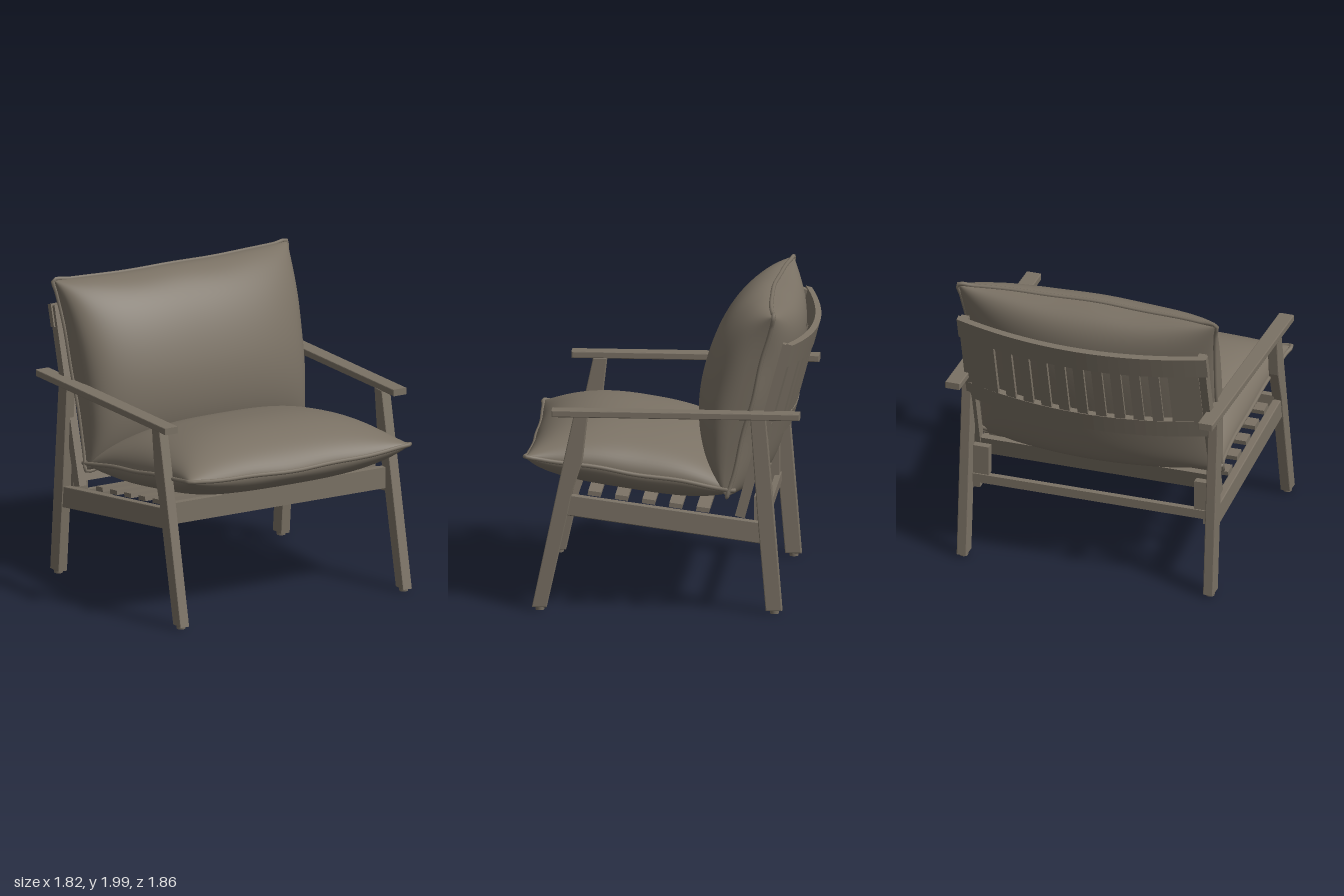
import * as THREE from 'three';
import { ParametricGeometry } from 'three/addons/geometries/ParametricGeometry.js';

export function createModel() {
  const chair = new THREE.Group();
  chair.name = 'armchair';
  const taupe = new THREE.MeshStandardMaterial({ color: 0x7a7164 });
  taupe.name = 'taupe';

  function add(name, geometry, parent = chair) {
    const mesh = new THREE.Mesh(geometry, taupe);
    mesh.name = name;
    parent.add(mesh);
    return mesh;
  }
  function box(name, w, h, d, x, y, z, parent) {
    const mesh = add(name, new THREE.BoxGeometry(w, h, d), parent);
    mesh.position.set(x, y, z);
    return mesh;
  }
  // Board with a [z, y] outline, spanning x0..x1, with softened edges
  function sideBoard(name, outline, x0, x1) {
    const b = 0.006;
    const shape = new THREE.Shape(outline.map(([z, y]) => new THREE.Vector2(z, y)));
    const geo = new THREE.ExtrudeGeometry(shape, {
      depth: x1 - x0 - 2 * b, bevelEnabled: true, bevelSize: b, bevelOffset: -b, bevelThickness: b, bevelSegments: 2,
    });
    geo.rotateY(-Math.PI / 2).translate(x1 - b, 0, 0);
    add(name, geo);
  }
  function bothSides(name, outline, x0, x1) {
    sideBoard(name + 'Left', outline, x0, x1);
    sideBoard(name + 'Right', outline, -x1, -x0);
  }

  // Legs, side rails and armrests
  bothSides('frontLeg', [[0.87, 0.02], [0.775, 0.02], [0.64, 0.63], [0.615, 0.76], [0.545, 0.98], [0.51, 1.29], [0.6, 1.29], [0.68, 0.92]], 0.806, 0.874);
  bothSides('backLeg', [[-0.745, 0.02], [-0.69, 0.7], [-0.64, 1.29], [-0.54, 1.29], [-0.59, 0.6], [-0.64, 0.02]], 0.806, 0.874);
  bothSides('sideRail', [[0.66, 0.63], [0.64, 0.765], [-0.62, 0.6], [-0.62, 0.46]], 0.81, 0.865);
  bothSides('armrest', [[0.74, 1.285], [0.74, 1.33], [-0.86, 1.33], [-0.86, 1.285]], 0.81, 0.912);
  for (const s of [-1, 1]) {
    for (const z of [0.82, -0.695]) {
      add('footPad', new THREE.CylinderGeometry(0.032, 0.028, 0.03, 20)).position.set(s * 0.84, 0.015, z);
    }
    box('backBracket', 0.11, 0.2, 0.05, s * 0.755, 0.66, -0.585);
    box('bracketFoot', 0.05, 0.1, 0.05, s * 0.785, 0.51, -0.585);
  }

  // Cross rails and seat slats
  box('frontRail', 1.64, 0.14, 0.045, 0, 0.72, 0.63);
  box('frontLip', 0.83, 0.035, 0.06, 0, 0.79, 0.62);
  box('rearStretcher', 1.63, 0.06, 0.04, 0, 0.53, -0.6);
  for (let i = 0; i < 5; i++) {
    const z = 0.47 - i * 0.175;
    box('seatSlat', 1.63, 0.03, 0.085, 0, 0.7 + 0.133 * z, z).rotation.x = -0.13;
  }

  // Reclined backrest frame: stiles, bowed rails and upright slats
  const back = new THREE.Group();
  back.name = 'backrest';
  back.position.set(0, 0.63, -0.47);
  back.rotation.x = -0.265;
  chair.add(back);
  for (const s of [-1, 1]) box('backStile', 0.055, 1.18, 0.065, s * 0.81, 0.59, 0, back);
  box('backBottomRail', 1.6, 0.13, 0.04, 0, 0.095, 0, back);
  function bowedRail(name, y0, y1, halfWidth) {
    const shape = new THREE.Shape();
    shape.moveTo(-halfWidth, -0.01);
    shape.quadraticCurveTo(0, 0.23, halfWidth, -0.01);
    shape.lineTo(halfWidth, 0.03);
    shape.quadraticCurveTo(0, 0.27, -halfWidth, 0.03);
    const geo = new THREE.ExtrudeGeometry(shape, { depth: y1 - y0, bevelEnabled: false, curveSegments: 24 });
    geo.rotateX(-Math.PI / 2).translate(0, y0, 0);
    add(name, geo, back);
  }
  bowedRail('backTopRail', 1.04, 1.19, 0.85);
  bowedRail('backMiddleRail', 0.52, 0.65, 0.83);
  function backSlat(name, width, x) {
    const slat = box(name, width, 0.44, 0.02, x, 0.84, -(0.015 + 0.12 * (1 - (x / 0.85) ** 2)), back);
    slat.rotation.y = -0.33 * x;
  }
  for (let i = -4; i <= 4; i++) backSlat('backSlat', 0.07, i * 0.125);
  for (const s of [-1, 1]) backSlat('backSidePanel', 0.2, s * 0.69);

  // Pillow: two bulging faces joined at a welted seam
  function cushion(name, o) {
    const group = new THREE.Group();
    group.name = name;
    chair.add(group);
    const edge = (u, v) => {
      const x = u * (o.w + o.taper * v) * (1 - o.pinch * (1 - v ** 4));
      const y = v * o.h * (1 - o.pinch * (1 - u ** 4));
      const ripple = 0.005 * Math.sin(9 * u + 2) * Math.sin(8 * v + 1) * Math.max(u * u, v * v) ** 6;
      return [x, y + ripple, o.bow * (1 - u * u) * Math.max(0, o.bowEnd * v) ** 2 + ripple];
    };
    const face = (side, thick, pu, eu, pv, ev) => {
      const geo = new ParametricGeometry((a, b, target) => {
        const u = side * Math.sin((a - 0.5) * Math.PI);
        const v = Math.sin((b - 0.5) * Math.PI);
        const rise = Math.max(0, 1 - Math.abs(u) ** pu) ** eu * Math.max(0, 1 - Math.abs(v) ** pv) ** ev;
        const [x, y, z] = edge(u, v);
        target.set(x, y, z + side * thick * rise);
      }, 48, 48);
      geo.computeVertexNormals();
      add(side > 0 ? 'cushionFace' : 'cushionUnderside', geo, group);
    };
    face(1, ...o.front);
    face(-1, ...o.rear);
    const seam = [];
    const n = 16;
    const corners = [[-1, -1], [1, -1], [1, 1], [-1, 1]];
    corners.forEach(([u, v], c) => {
      const [u2, v2] = corners[(c + 1) % 4];
      for (let i = 0; i < n; i++) {
        const t = i / n;
        seam.push(new THREE.Vector3(...edge(u + (u2 - u) * t, v + (v2 - v) * t)));
      }
    });
    add('seamWelt', new THREE.TubeGeometry(new THREE.CatmullRomCurve3(seam, true), 200, 0.014, 8, true), group);
    return group;
  }

  // The seat seam sags at the front; the back seam bows forward at the top
  const seat = cushion('seatCushion', {
    w: 0.825, h: 0.68, taper: -0.01, pinch: 0.03, bow: -0.04, bowEnd: -1,
    front: [0.26, 3, 0.5, 2.6, 0.58], rear: [0.175, 4, 0.45, 3, 0.5],
  });
  seat.position.set(0, 0.9, 0.245);
  seat.rotation.x = -(Math.PI / 2 + 0.15);

  // The rear of the back cushion presses into the bowed slats
  const backCushion = cushion('backCushion', {
    w: 0.85, h: 0.625, taper: 0.03, pinch: 0.028, bow: 0.06, bowEnd: 1,
    front: [0.365, 2.4, 0.26, 2, 0.53], rear: [0.235, 2, 0.65, 6, 0.35],
  });
  backCushion.position.set(0, 1.36, -0.54);
  backCushion.rotation.x = -0.245;

  return chair;
}
